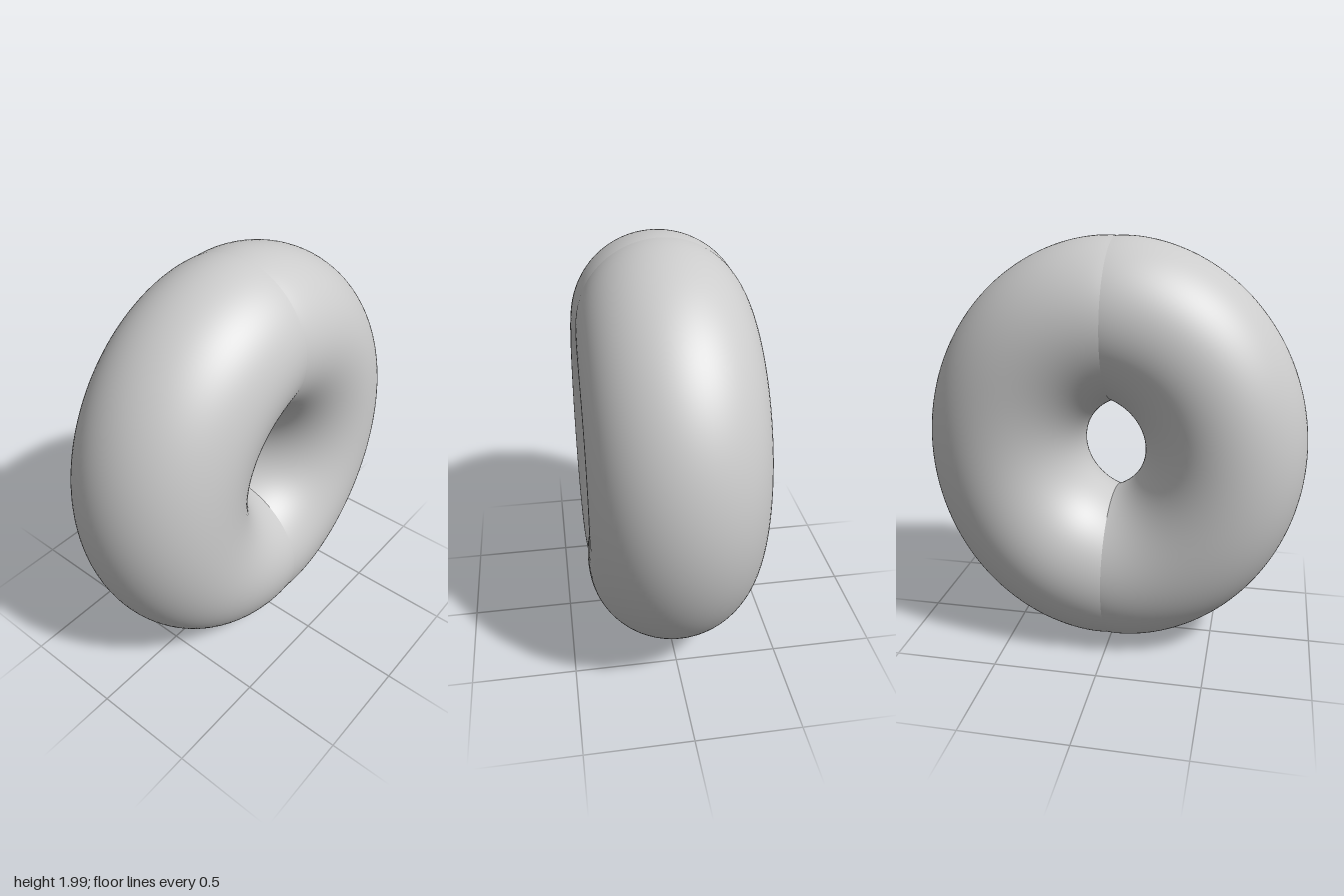
import * as THREE from 'three';

const ARC = 128, RING = 96;

// One half of the ring: oval cross-sections strung between an outer oval and a pointed inner arc
function halfRing() {
  const pos = [], index = [];
  const holeR = 0.256, holeShift = 0.101;
  const holeSpan = Math.acos(holeShift / holeR);
  for (let i = 0; i <= ARC; i++) {
    const k = (i / ARC) * 2 - 1;
    const t = k * Math.PI / 2;
    const c = Math.max(0, Math.cos(t));
    // shallow groove where the halves meet
    const outer = new THREE.Vector2(0.922 * c, Math.sin(t) * (1.001 - 0.006 * Math.exp(-c / 0.08)));
    const inner = new THREE.Vector2(
      holeR * Math.cos(holeSpan * k) - holeShift, holeR * Math.sin(holeSpan * k));
    const mid = outer.clone().add(inner).multiplyScalar(0.5);
    const half = outer.clone().sub(inner).multiplyScalar(0.5);
    const depth = 0.4 - 0.014 * Math.exp(-c / 0.2);
    for (let j = 0; j < RING; j++) {
      const u = (j / RING) * Math.PI * 2;
      pos.push(mid.x + half.x * Math.cos(u), mid.y + half.y * Math.cos(u), depth * Math.sin(u));
      if (i < ARC) {
        const n = (j + 1) % RING;
        const a = i * RING + j, b = a + RING, d = i * RING + n, e = d + RING;
        index.push(a, b, d, b, e, d);
      }
    }
  }
  const geo = new THREE.BufferGeometry();
  geo.setAttribute('position', new THREE.Float32BufferAttribute(pos, 3));
  geo.setIndex(index);
  geo.computeVertexNormals();
  return geo;
}

export function createModel() {
  const group = new THREE.Group();
  group.name = 'ring';
  const material = new THREE.MeshStandardMaterial({ color: 0xcccccc, side: THREE.DoubleSide });
  const geometry = halfRing();
  // The second half is the first turned half way round
  ['leftHalf', 'rightHalf'].forEach((name, i) => {
    const mesh = new THREE.Mesh(geometry, material);
    mesh.name = name;
    mesh.position.y = 1;
    mesh.rotation.y = i * Math.PI;
    group.add(mesh);
  });
  return group;
}
